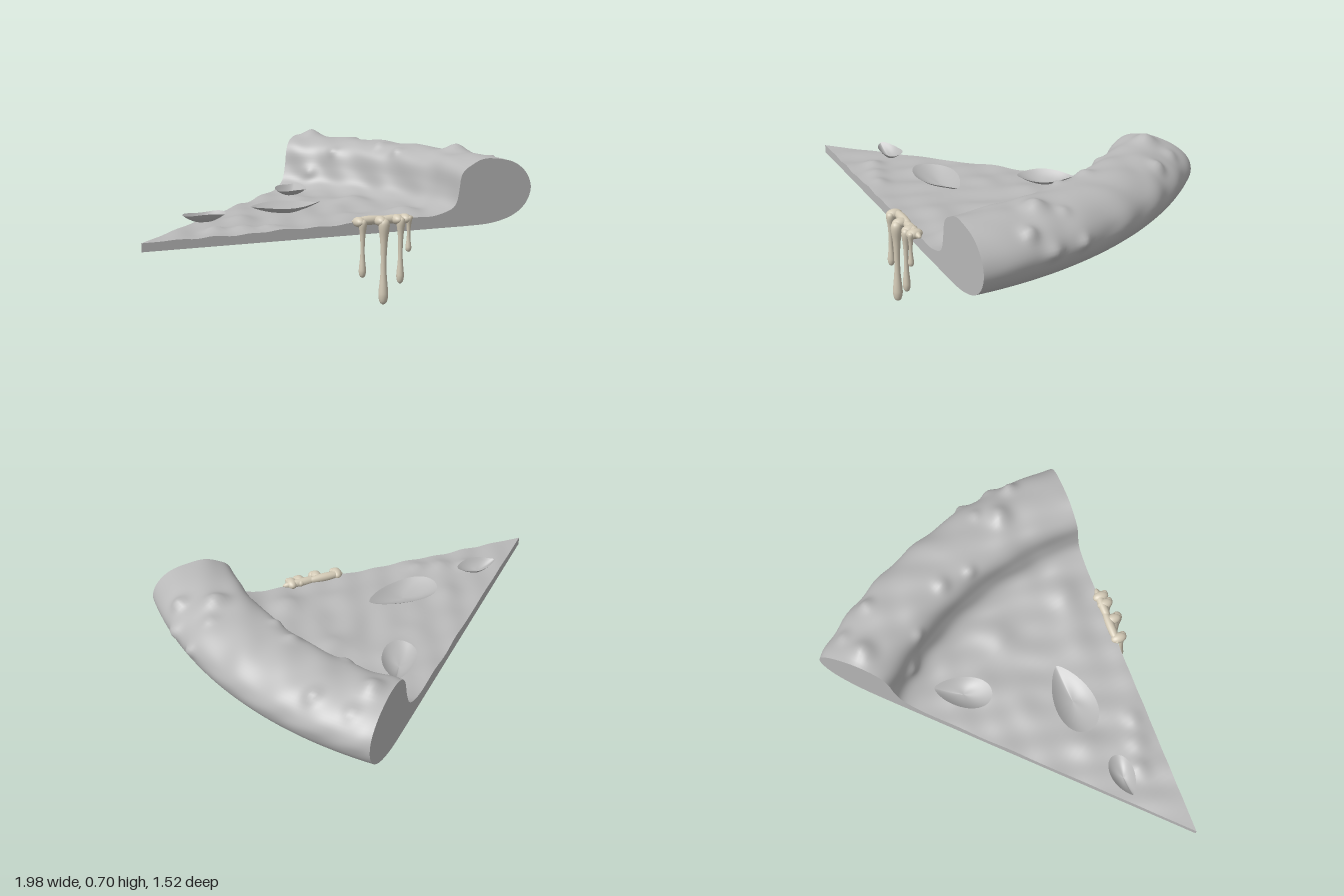
import * as THREE from 'three';

const HALF_ANGLE = 0.396;
const smooth = THREE.MathUtils.smoothstep;

// Rounded lumps: centre x, y, z, radius, height
const LUMPS = [
  [0.65, 0.68, -0.60, 0.07, 0.04], [0.83, 0.62, -0.43, 0.05, 0.03], [0.8, 0.65, -0.62, 0.05, 0.02],
  [0.54, 0.63, -0.34, 0.04, 0.025], [0.66, 0.67, -0.1, 0.05, 0.02], [0.62, 0.66, 0.05, 0.04, 0.02],
  [0.74, 0.67, 0.35, 0.07, 0.035], [0.83, 0.63, 0.27, 0.04, 0.02], [0.84, 0.62, 0.5, 0.05, 0.03],
  [0.92, 0.53, 0.43, 0.06, 0.03], [0.93, 0.46, 0.29, 0.04, 0.03], [0.94, 0.53, 0.27, 0.04, 0.03],
  [0.97, 0.46, -0.08, 0.04, 0.025], [0.48, 0.5, -0.45, 0.05, 0.02],
  [0.36, 0.4, -0.02, 0.11, 0.025], [0.3, 0.4, 0.36, 0.11, 0.025], [0.1, 0.4, 0.25, 0.1, 0.012],
  [-0.5, 0.39, 0.1, 0.07, 0.018], [-0.6, 0.39, 0.02, 0.06, 0.02], [-0.4, 0.39, 0.17, 0.06, 0.018],
  [-0.35, 0.39, -0.1, 0.1, 0.014], [0.02, 0.4, -0.18, 0.1, 0.015], [0.25, 0.4, -0.25, 0.1, 0.012],
];

function relief(p) {
  let h = 0.004 * Math.sin(p.x * 17 + 2 * Math.sin(p.z * 9)) * Math.sin(p.z * 15 + p.y * 12)
    + 0.003 * Math.sin(p.x * 31 + p.z * 23 + p.y * 19);
  for (const [x, y, z, r, k] of LUMPS) {
    const d2 = (p.x - x) ** 2 + (p.y - y) ** 2 + (p.z - z) ** 2;
    h += k * Math.exp(-1.8 * d2 / (r * r));
  }
  return h;
}

// Side section of the slice: radius from the tip, height
function sliceProfile() {
  const pts = [];
  for (let i = 0; i < 16; i++) pts.push(new THREE.Vector2(1.6 * i / 16, 0.345));
  const crust = [[1.6, 0.345], [1.75, 0.35], [1.87, 0.38], [1.945, 0.435], [1.975, 0.51],
    [1.955, 0.58], [1.89, 0.635], [1.8, 0.665], [1.7, 0.667], [1.63, 0.645], [1.59, 0.6],
    [1.573, 0.52], [1.55, 0.455], [1.5, 0.422], [1.42, 0.408], [1.3, 0.402]];
  pts.push(...new THREE.SplineCurve(crust.map(c => new THREE.Vector2(...c))).getPoints(75));
  for (let i = 1; i <= 45; i++) {
    const t = i / 45;
    pts.push(new THREE.Vector2(1.3 * (1 - t), 0.402 - 0.017 * t));
  }
  return pts;
}

function buildSlice(mat) {
  const slice = new THREE.Group();
  slice.name = 'slice';
  const prof = sliceProfile(), n = prof.length, cols = 110;
  const pos = [], index = [], ends = [[], []];
  for (let i = 0; i <= cols; i++) {
    const a = HALF_ANGLE * (2 * i / cols - 1);
    for (let j = 0; j < n; j++) {
      const q = prof[j], d = prof[Math.min(j + 1, n - 1)].clone().sub(prof[Math.max(j - 1, 0)]).normalize();
      const p = new THREE.Vector3(-1 + q.x * Math.cos(a), q.y, q.x * Math.sin(a));
      const h = relief(p) * smooth(-d.x, -0.3, 0.3) * smooth(q.x, 0, 0.3);
      const r = q.x + d.y * h, y = q.y - d.x * h;
      pos.push(-1 + r * Math.cos(a), y, r * Math.sin(a));
      if (i === 0) ends[0].push(new THREE.Vector2(r, y));
      if (i === cols) ends[1].push(new THREE.Vector2(r, y));
      if (i < cols && j < n - 1) {
        const k = i * n + j;
        index.push(k, k + 1, k + n, k + 1, k + n + 1, k + n);
      }
    }
  }
  const geo = new THREE.BufferGeometry();
  geo.setAttribute('position', new THREE.Float32BufferAttribute(pos, 3));
  geo.setIndex(index);
  geo.computeVertexNormals();
  const body = new THREE.Mesh(geo, mat);
  body.name = 'doughAndCrust';
  slice.add(body);
  // Flat cut faces
  ends.forEach((pts, s) => {
    const cut = new THREE.Mesh(new THREE.ShapeGeometry(new THREE.Shape(pts)), mat);
    cut.name = s ? 'frontCutFace' : 'backCutFace';
    cut.rotation.y = s ? -HALF_ANGLE : HALF_ANGLE;
    cut.position.x = -1;
    slice.add(cut);
  });
  return slice;
}

// Teardrop leaf curled into a shallow dish, pointed at (px, pz), round at (bx, bz)
function buildLeaf(px, pz, bx, bz, width, power, mat) {
  const len = Math.hypot(px - bx, pz - bz);
  const geo = new THREE.RingGeometry(0.001, 1, 48, 8);
  const p = geo.attributes.position;
  for (let i = 0; i < p.count; i++) {
    const x = p.getX(i), z = p.getY(i), rho = Math.hypot(x, z), phi = Math.atan2(z, x);
    const taper = 1.18 * Math.pow(Math.abs(Math.sin(phi / 2)), power);
    p.setXYZ(i, x * len / 2, 0.04 * rho * rho + 0.004 * Math.sin(3 * phi) * rho, z * taper * width / 2);
  }
  geo.computeVertexNormals();
  const leaf = new THREE.Mesh(geo, mat);
  leaf.name = 'leaf';
  leaf.position.set((px + bx) / 2, 0.413, (pz + bz) / 2);
  leaf.rotation.y = -Math.atan2(pz - bz, px - bx);
  return leaf;
}

// Hanging strand with a heavy rounded end
function buildDrip(x, z, bottom, w, mat) {
  const top = 0.425, h = top - bottom;
  const shape = [[0, 0], [0.7, 0.03], [1, 0.1], [0.95, 0.18], [0.65, 0.36], [0.6, 0.55],
    [0.8, 0.75], [1.15, 0.9], [0.9, 0.97], [0, 1]];
  const pts = new THREE.SplineCurve(shape.map(([r, t]) => new THREE.Vector2(r * w, bottom + t * h))).getPoints(36);
  pts.forEach(p => { p.x = Math.max(p.x, 0); });
  const drip = new THREE.Mesh(new THREE.LatheGeometry(pts, 16), mat);
  drip.name = 'cheeseDrip';
  drip.position.set(x, 0, z);
  return drip;
}

function buildCheese(mat) {
  const cheese = new THREE.Group();
  cheese.name = 'meltedCheese';
  const blob = (x, y, z, sx, sy, sz) => {
    const m = new THREE.Mesh(new THREE.SphereGeometry(1, 20, 14), mat);
    m.name = 'cheeseLip';
    m.position.set(x, y, z);
    m.scale.set(sx, sy, sz);
    m.rotation.y = -HALF_ANGLE;
    cheese.add(m);
  };
  const drips = [[-0.05, 0.437, 0.145, 0.017], [0.042, 0.488, 0.008, 0.023],
    [0.13, 0.515, 0.1, 0.018], [0.173, 0.527, 0.25, 0.014]];
  for (const [x, z, bottom, w] of drips) {
    cheese.add(buildDrip(x, z, bottom, w, mat));
    blob(x, 0.408, z - 0.025, 0.027, 0.024, 0.04);
  }
  // Band lying over the cut edge
  blob(0.02, 0.41, 0.425, 0.1, 0.022, 0.022);
  blob(0.13, 0.408, 0.475, 0.1, 0.022, 0.022);
  return cheese;
}

export function createModel() {
  const dough = new THREE.MeshStandardMaterial({ color: 0xb8b8b8, side: THREE.DoubleSide });
  dough.name = 'plainGrey';
  const cream = new THREE.MeshStandardMaterial({ color: 0xd3cab6 });
  cream.name = 'cheeseCream';

  const model = new THREE.Group();
  model.name = 'pizzaSlice';
  model.add(buildSlice(dough));
  model.add(buildLeaf(0.04, 0.07, -0.31, -0.04, 0.2, 0.6, dough));
  model.add(buildLeaf(0.36, -0.44, 0.14, -0.26, 0.16, 0.5, dough));
  model.add(buildLeaf(-0.68, -0.11, -0.48, -0.04, 0.11, 0.5, dough));
  model.add(buildCheese(cream));
  return model;
}
